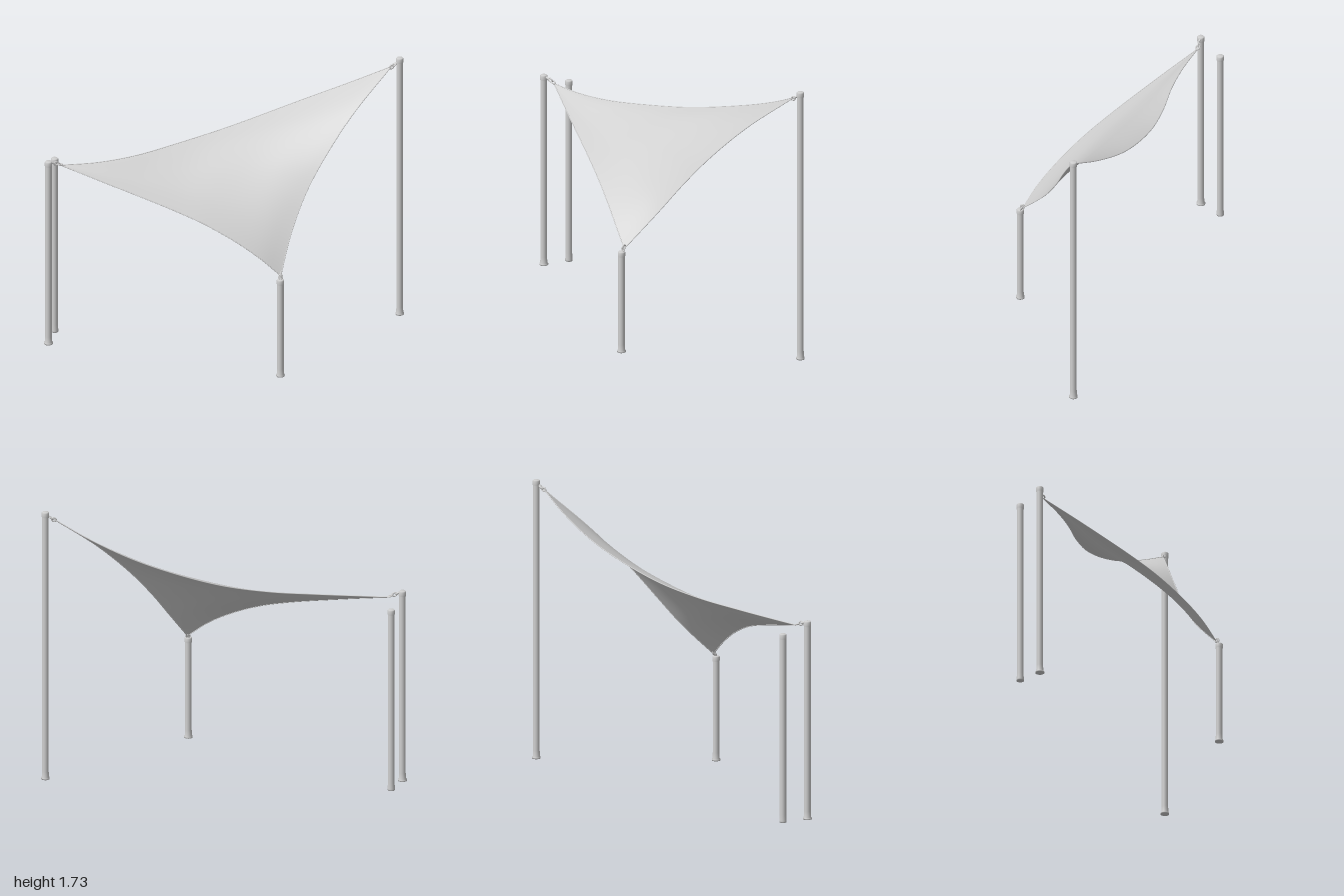
import * as THREE from 'three';

const V = (p) => new THREE.Vector3(...p);
const curve = (pts) => new THREE.CatmullRomCurve3(pts.map(V), false, 'centripetal');

export function createModel() {
  const group = new THREE.Group();
  const paleGrey = new THREE.MeshStandardMaterial({ color: 0xcfcfcf, side: THREE.DoubleSide });
  paleGrey.name = 'paleGrey';

  const add = (name, geometry, parent = group) => {
    const mesh = new THREE.Mesh(geometry, paleGrey);
    mesh.name = name;
    parent.add(mesh);
    return mesh;
  };

  // Posts: foot plate, shaft and slightly wider rounded cap in one profile
  const addPost = (name, x, z, h, foot) => {
    const profile = [
      [0, 0], [foot, 0], [foot, 0.008], [0.022, 0.014], [0.02, 0.05],
      [0.02, h - 0.035], [0.0225, h - 0.03], [0.0225, h - 0.006], [0.018, h], [0, h],
    ].map(([r, y]) => new THREE.Vector2(r, y));
    add(name, new THREE.LatheGeometry(profile, 20)).position.set(x, 0, z);
  };
  addPost('rightPost', -0.975, 0.41, 1.23, 0.027);
  addPost('spareRightPost', -0.978, 0.247, 1.17, 0.022);
  addPost('frontPost', 0.477, 0.478, 0.65, 0.026);
  addPost('leftPost', 0.973, -0.48, 1.73, 0.026);

  // The three sagging edges of the sail
  const right = [-0.91, 1.192, 0.37], front = [0.475, 0.665, 0.46], left = [0.93, 1.68, -0.452];
  const lowerEdge = curve([right, [-0.6, 1.115, 0.4], [-0.2, 1.01, 0.432], [0, 0.945, 0.446],
    [0.2, 0.855, 0.458], [0.35, 0.765, 0.464], front]);
  const upperEdge = curve([right, [-0.7, 1.195, 0.285], [-0.5, 1.21, 0.175], [-0.27, 1.245, 0.015],
    [0, 1.307, -0.15], [0.4, 1.445, -0.335], [0.7, 1.57, -0.415], left]);
  const sideEdge = curve([front, [0.481, 0.78, 0.34], [0.495, 0.885, 0.24], [0.543, 1.06, 0.1],
    [0.62, 1.23, -0.03], [0.75, 1.45, -0.22], left]);

  // Sail: patch blended between the edges, fanning out from the right corner
  const n = 40;
  const low = lowerEdge.getSpacedPoints(n), up = upperEdge.getSpacedPoints(n);
  const side = sideEdge.getSpacedPoints(n);
  const positions = [], index = [];
  for (let i = 0; i <= n; i++) {
    for (let j = 0; j <= n; j++) {
      const u = i / n, v = j / n;
      const sag = side[j].clone().sub(V(front).lerp(V(left), v));
      const p = low[i].clone().lerp(up[i], v).addScaledVector(sag, u);
      positions.push(p.x, p.y, p.z);
      if (i < n && j < n) {
        const a = i * (n + 1) + j, b = a + n + 1;
        if (i > 0) index.push(a, b, a + 1);
        index.push(b, b + 1, a + 1);
      }
    }
  }
  const sail = new THREE.BufferGeometry();
  sail.setAttribute('position', new THREE.Float32BufferAttribute(positions, 3));
  sail.setIndex(index);
  sail.computeVertexNormals();
  add('sail', sail);

  // Thin rope hem around the sail
  [['lowerHem', lowerEdge], ['upperHem', upperEdge], ['sideHem', sideEdge]].forEach(([name, path]) =>
    add(name, new THREE.TubeGeometry(path, 50, 0.003, 6)));

  // Corner fittings: eye bolt from the post, then two interlocked links
  const addFitting = (name, from, to) => {
    const fitting = new THREE.Group();
    fitting.name = name;
    group.add(fitting);
    const a = V(from), b = V(to), dir = b.clone().sub(a).normalize();
    const turn = new THREE.Quaternion().setFromUnitVectors(new THREE.Vector3(1, 0, 0), dir);
    add('eyeBolt', new THREE.TubeGeometry(new THREE.LineCurve3(a, a.clone().lerp(b, 0.45)), 1, 0.007, 8), fitting);
    [0.5, 0.85].forEach((t, k) => {
      const link = add('link', new THREE.TorusGeometry(0.011, 0.0045, 8, 16), fitting);
      link.position.copy(a).lerp(b, t);
      link.quaternion.copy(turn).multiply(
        new THREE.Quaternion().setFromAxisAngle(new THREE.Vector3(1, 0, 0), k * Math.PI / 2));
      link.scale.x = 1.25;
    });
  };
  addFitting('rightFitting', [-0.965, 1.222, 0.405], [-0.903, 1.195, 0.367]);
  addFitting('leftFitting', [0.965, 1.706, -0.475], [0.924, 1.672, -0.447]);
  addFitting('frontFitting', [0.477, 0.645, 0.475], [0.474, 0.68, 0.46]);

  return group;
}
